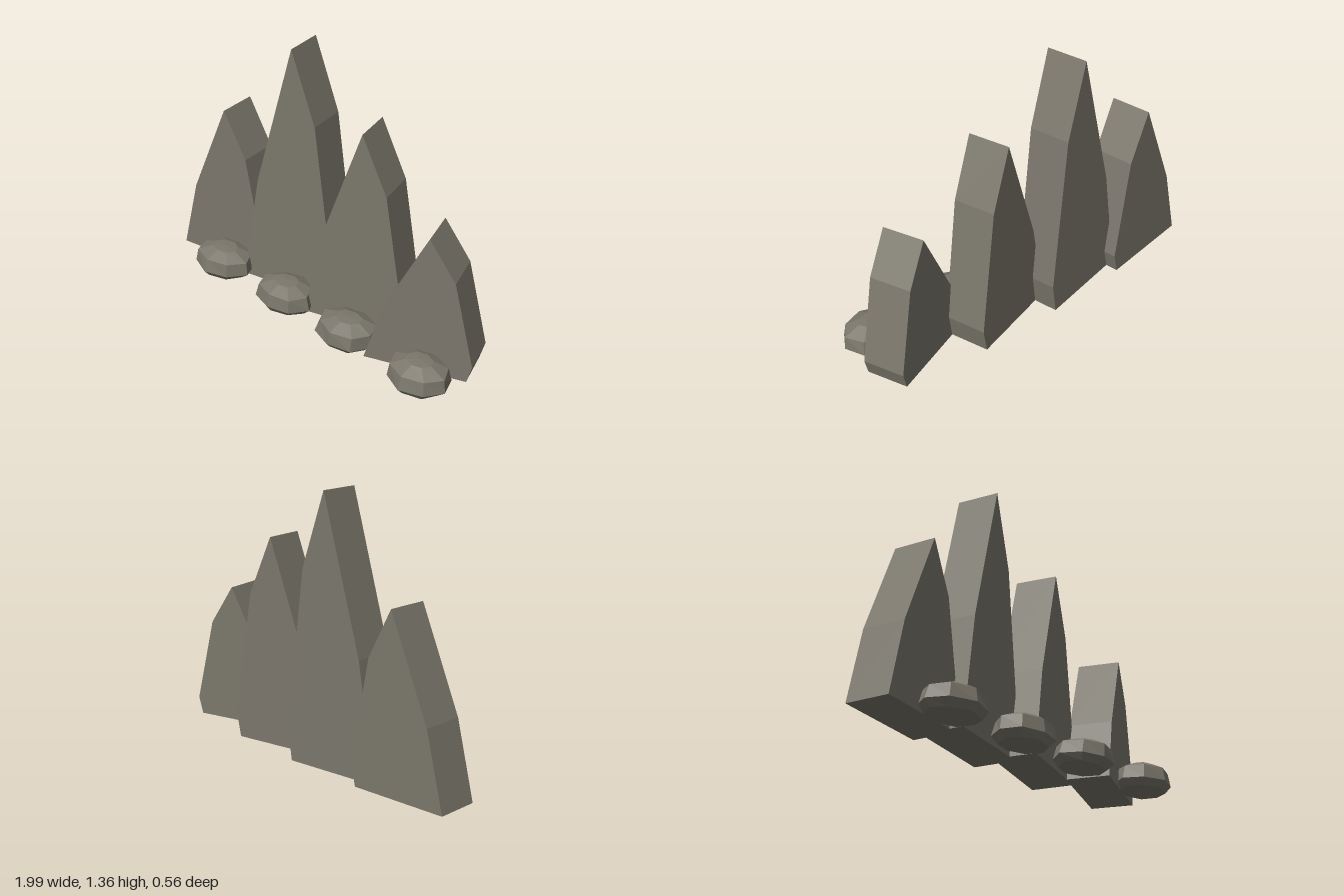
import * as THREE from 'three';

const stone = new THREE.MeshStandardMaterial({ color: 0x7b776c });
stone.name = 'grey stone';
stone.flatShading = true;

// Jagged slab: origin at its back lower left corner, turned about y
function makeSlab(name, x, z, height, degrees) {
  const profile = [[0, 0], [0.52, 0], [0.545, 0.12], [0.442, 0.72], [0.31, 1], [0.095, 0.433]];
  const shape = new THREE.Shape(profile.map(([u, v]) => new THREE.Vector2(u, v * height)));
  const geometry = new THREE.ExtrudeGeometry(shape, { depth: 0.22, bevelEnabled: false });
  const slab = new THREE.Mesh(geometry, stone);
  slab.name = name;
  slab.position.set(x, 0, z);
  slab.rotation.y = THREE.MathUtils.degToRad(degrees);
  return slab;
}

// Squat eight-sided boulder, slightly uneven and leaning sideways
function makeBoulder(name, x, z, rx, rz, lean, seed) {
  const rings = [[0, 0], [0.78, 0], [1, 0.035], [0.91, 0.105], [0.43, 0.14], [0, 0.145]];
  const geometry = new THREE.LatheGeometry(rings.map(([r, y]) => new THREE.Vector2(r, y)), 8);
  const p = geometry.attributes.position;
  for (let i = 0; i < p.count; i++) {
    const side = Math.floor(i / rings.length) % 8;
    const ring = i % rings.length;
    const uneven = 1 + 0.035 * Math.sin(side * 2.3 + ring * 1.1 + seed * 1.9);
    p.setXYZ(i, p.getX(i) * rx * uneven + lean * (p.getY(i) - 0.035), p.getY(i), p.getZ(i) * rz * uneven);
  }
  geometry.computeVertexNormals();
  const boulder = new THREE.Mesh(geometry, stone);
  boulder.name = name;
  boulder.position.set(x, 0, z);
  return boulder;
}

export function createModel() {
  const model = new THREE.Group();
  model.name = 'rockRidge';

  // Row of upright slabs
  [
    [-1, -0.1, 0.887, 11.6],
    [-0.53, -0.124, 1.36, 14.5],
    [-0.063, -0.105, 1.075, 19],
    [0.407, -0.038, 0.732, 23.5],
  ].forEach((s, i) => model.add(makeSlab('slab' + (i + 1), ...s)));

  // Boulders along the front
  [
    [-0.588, 0.137, 0.183, 0.138, 0.1],
    [-0.108, 0.127, 0.172, 0.133, 0.05],
    [0.333, 0.127, 0.176, 0.133, 0.2],
    [0.823, 0.13, 0.169, 0.135, 0.05],
  ].forEach((b, i) => model.add(makeBoulder('boulder' + (i + 1), ...b, i)));

  return model;
}
